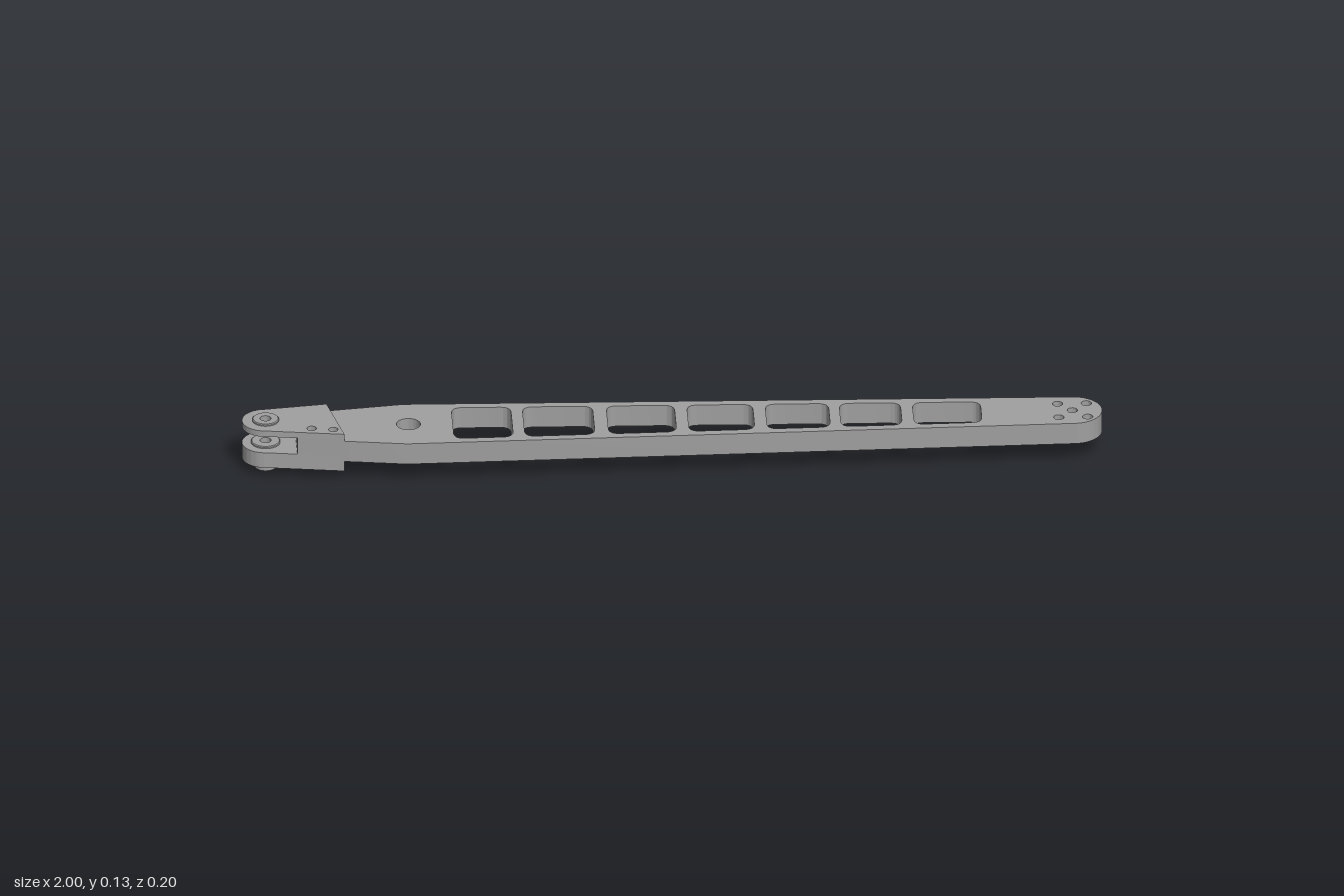
import * as THREE from 'three';
import { toCreasedNormals } from 'three/addons/utils/BufferGeometryUtils.js';

const metal = new THREE.MeshStandardMaterial({ color: 0xa0a0a0 });
metal.name = 'grey metal';

// Half width of the arm along its length
const noseX = -0.945, noseR = 0.055, shoulderX = -0.62, shoulderW = 0.1, tipX = 0.933, tipR = 0.067;
const halfWidth = (x) => x < shoulderX
  ? THREE.MathUtils.mapLinear(x, noseX, shoulderX, noseR, shoulderW)
  : THREE.MathUtils.mapLinear(x, shoulderX, tipX, shoulderW, tipR);

function addMesh(group, name, geometry) {
  const mesh = new THREE.Mesh(toCreasedNormals(geometry, 0.4), metal);
  mesh.name = name;
  group.add(mesh);
}

// Plan shapes use (x, -z) and are extruded upward from y0 to y1
function addPlate(group, name, shape, y0, y1) {
  const geo = new THREE.ExtrudeGeometry(shape, { depth: y1 - y0, bevelEnabled: false, curveSegments: 24 });
  geo.rotateX(-Math.PI / 2).translate(0, y0, 0);
  addMesh(group, name, geo);
}

const roundHole = (x, z, r) => new THREE.Path().absarc(x, -z, r, 0, Math.PI * 2, true);

// Four-cornered opening with rounded corners
function roundedOpening(corners, r) {
  const path = new THREE.Path();
  const pts = corners.map(([x, y]) => new THREE.Vector2(x, y));
  const toward = (a, b) => a.clone().add(b.clone().sub(a).setLength(r));
  pts.forEach((p, i) => {
    const a = toward(p, pts[(i + 3) % 4]), b = toward(p, pts[(i + 1) % 4]);
    if (i === 0) path.moveTo(a.x, a.y); else path.lineTo(a.x, a.y);
    path.quadraticCurveTo(p.x, p.y, b.x, b.y);
  });
  path.closePath();
  return path;
}

// Slanted joint between fork and arm
const jointBack = -0.8, jointFront = -0.765, slotEnd = -0.874;

function armShape() {
  const s = new THREE.Shape();
  s.moveTo(jointFront, -halfWidth(jointFront));
  s.lineTo(shoulderX, -shoulderW);
  s.lineTo(tipX, -tipR);
  s.absarc(tipX, 0, tipR, -Math.PI / 2, Math.PI / 2, false);
  s.lineTo(shoulderX, shoulderW);
  s.lineTo(jointBack, halfWidth(jointBack));
  s.closePath();
  // Pivot hole and bolt pattern at the tip
  s.holes.push(roundHole(-0.613, 0, 0.028), roundHole(0.931, 0, 0.012));
  for (const x of [0.898, 0.965]) for (const z of [-0.034, 0.034]) s.holes.push(roundHole(x, z, 0.012));
  // Lightening pockets
  const pockets = [[-0.51, -0.372], [-0.345, -0.182], [-0.15, 0.008], [0.037, 0.19],
    [0.219, 0.366], [0.391, 0.533], [0.561, 0.719]];
  for (const [a, b] of pockets) {
    const ha = halfWidth(a) - 0.02, hb = halfWidth(b) - 0.02;
    s.holes.push(roundedOpening([[a, -ha], [a, ha], [b, hb], [b, -hb]], 0.026));
  }
  return s;
}

function forkShape(withNose) {
  const s = new THREE.Shape();
  s.moveTo(jointFront, -halfWidth(jointFront));
  s.lineTo(jointBack, halfWidth(jointBack));
  if (withNose) {
    s.lineTo(noseX, noseR);
    s.absarc(noseX, 0, noseR, Math.PI / 2, Math.PI * 1.5, false);
    s.holes.push(roundHole(noseX, 0, 0.02));
  } else {
    s.lineTo(slotEnd, halfWidth(slotEnd));
    s.lineTo(slotEnd, -halfWidth(slotEnd));
  }
  s.closePath();
  s.holes.push(roundHole(-0.84, 0.046, 0.011), roundHole(-0.79, 0.054, 0.011));
  return s;
}

// Hollow turned part; outer profile runs from bottom to top
function addBushing(group, name, outer) {
  const bore = 0.013, y0 = outer[0][1], y1 = outer[outer.length - 1][1];
  const pts = [[bore, y0], ...outer, [bore, y1], [bore, y0]].map(([r, y]) => new THREE.Vector2(r, y));
  addMesh(group, name, new THREE.LatheGeometry(pts, 40).translate(noseX, 0, 0));
}

export function createModel() {
  const model = new THREE.Group();
  model.name = 'leverArm';

  addPlate(model, 'arm', armShape(), 0.05, 0.103);

  const fork = new THREE.Group();
  fork.name = 'fork';
  addPlate(fork, 'lowerProng', forkShape(true), 0.025, 0.064);
  addPlate(fork, 'forkRoot', forkShape(false), 0.064, 0.106);
  addPlate(fork, 'upperProng', forkShape(true), 0.106, 0.121);
  model.add(fork);

  addBushing(model, 'upperBushing', [[0.025, 0.102], [0.031, 0.102], [0.031, 0.106], [0.021, 0.106],
    [0.021, 0.121], [0.031, 0.121], [0.031, 0.124], [0.029, 0.126]]);
  addBushing(model, 'lowerBushing', [[0.024, 0], [0.026, 0.002], [0.026, 0.026], [0.021, 0.026],
    [0.021, 0.064], [0.034, 0.064], [0.034, 0.067], [0.032, 0.069]]);
  return model;
}
